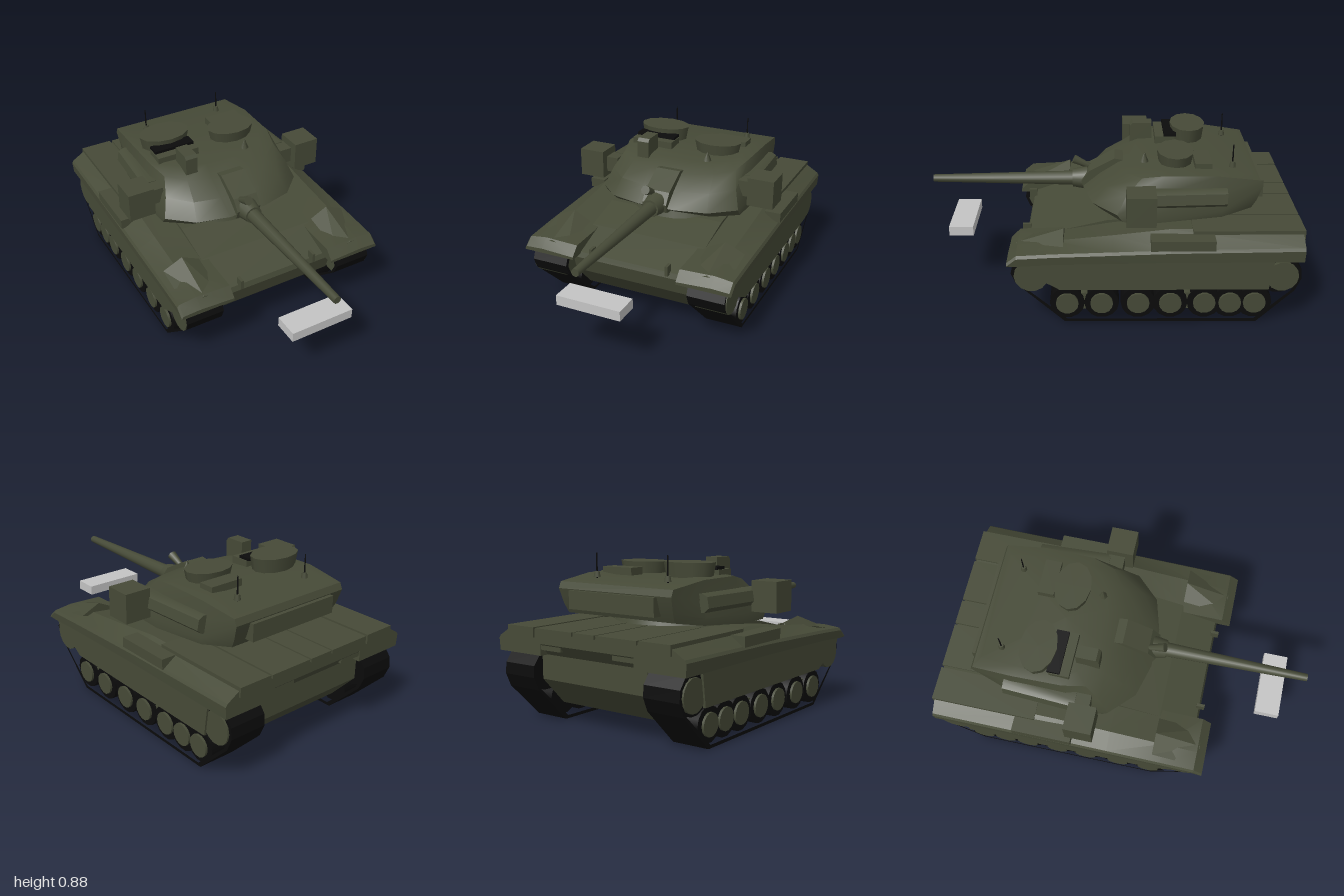
import * as THREE from 'three';
import { toCreasedNormals } from 'three/addons/utils/BufferGeometryUtils.js';

const mat = (name, color) => Object.assign(new THREE.MeshStandardMaterial({ color }), { name });

// Skin a list of equal-length rings of [x, y, z], close both ends, and face outward
function loft(rings, crease = 0.6) {
  const n = rings[0].length, tris = [];
  for (let r = 0; r < rings.length - 1; r++) {
    for (let i = 0; i < n; i++) {
      const j = (i + 1) % n, a = rings[r], b = rings[r + 1];
      tris.push([a[i], a[j], b[j]], [a[i], b[j], b[i]]);
    }
  }
  const cap = (ring, flip) => {
    const c = [0, 1, 2].map(k => ring.reduce((s, p) => s + p[k], 0) / n);
    ring.forEach((p, i) => {
      const q = ring[(i + 1) % n];
      tris.push(flip ? [c, q, p] : [c, p, q]);
    });
  };
  cap(rings[0], true);
  cap(rings[rings.length - 1], false);
  const v = p => new THREE.Vector3(...p);
  const volume = tris.reduce((s, t) => s + v(t[0]).dot(v(t[1]).cross(v(t[2]))), 0);
  if (volume < 0) tris.forEach(t => t.reverse());
  const g = new THREE.BufferGeometry();
  g.setAttribute('position', new THREE.Float32BufferAttribute(tris.flat(2), 3));
  return toCreasedNormals(g, crease);
}

// Extrude a [z, y] side profile between x0 and x1
function prism(profile, x0, x1, hole) {
  const pts = list => list.map(p => new THREE.Vector2(...p));
  const shape = new THREE.Shape(pts(profile));
  if (hole) shape.holes.push(new THREE.Path(pts(hole)));
  const g = new THREE.ExtrudeGeometry(shape, { depth: x1 - x0, bevelEnabled: false });
  return g.rotateY(-Math.PI / 2).translate(x1, 0, 0);
}

// Box from its limits
const box = (x0, x1, y0, y1, z0, z1) => new THREE.BoxGeometry(x1 - x0, y1 - y0, z1 - z0)
  .translate((x0 + x1) / 2, (y0 + y1) / 2, (z0 + z1) / 2);

// Wheel-like cylinder lying along x
const disc = (r, x0, x1, y, z, sides = 14) => new THREE.CylinderGeometry(r, r, x1 - x0, sides)
  .rotateZ(Math.PI / 2).translate((x0 + x1) / 2, y, z);

export function createModel() {
  const green = mat('olive green', 0x464a37);
  const black = mat('track black', 0x0b0b0b);
  const grey = mat('light grey', 0xc4c4c4);
  const model = new THREE.Group();
  const add = (name, geometry, material = green, parent = model) => {
    const m = new THREE.Mesh(geometry, material);
    m.name = name;
    parent.add(m);
    return m;
  };

  // Hull: lower tub and sloping glacis
  add('hull', prism([[0.3, 0.1], [0.44, 0.25], [0.465, 0.34], [0.455, 0.37], [0.25, 0.44], [0.02, 0.495],
    [-0.15, 0.505], [-0.99, 0.505], [-0.99, 0.44], [-0.94, 0.38], [-0.94, 0.25], [-0.8, 0.1]], -0.345, 0.345));

  // Engine deck panels and rear fittings
  for (const [x0, x1] of [[-0.33, -0.08], [-0.07, 0.07], [0.08, 0.33]]) {
    add('engineDeckPanel', box(x0, x1, 0.5, 0.52, -1, -0.5));
  }
  for (const x of [-0.24, 0.24]) {
    add('rearBox', box(x - 0.07, x + 0.07, 0.41, 0.48, -0.985, -0.93));
    add('headlamp', box(x * 0.94 - 0.008, x * 0.94 + 0.008, 0.36, 0.415, 0.44, 0.485));
  }

  // Running gear, once per side
  const loop = [[0.525, 0.3], [0.5, 0.24], [0.25, 0.005], [-0.77, 0.0], [-0.96, 0.19], [-0.99, 0.26],
    [-0.985, 0.32], [-0.94, 0.38], [0.44, 0.38], [0.5, 0.36]];
  const inner = loop.map(([z, y]) => [(z + 0.23) * 0.972 - 0.23, (y - 0.19) * 0.91 + 0.19]);
  for (const s of [1, -1]) {
    const side = new THREE.Group();
    side.name = s > 0 ? 'leftSide' : 'rightSide';
    model.add(side);
    const span = (a, b) => s > 0 ? [a, b] : [-b, -a];
    add('track', prism(loop, ...span(0.36, 0.57), inner), black, side);
    for (const z of [0.235, 0.053, -0.14, -0.31, -0.49, -0.625, -0.755]) {
      add('roadWheelTyre', disc(0.092, ...span(0.39, 0.562), 0.115, z), black, side);
      add('roadWheelHub', disc(0.06, ...span(0.5, 0.575), 0.115, z), green, side);
    }
    for (const z of [0.146, -0.4]) add('shockAbsorber', disc(0.05, ...span(0.5, 0.55), 0.12, z), green, side);
    add('idlerWheel', disc(0.09, ...span(0.39, 0.575), 0.285, 0.42), green, side);
    add('driveSprocketRim', disc(0.105, ...span(0.39, 0.56), 0.28, -0.87), black, side);
    add('driveSprocket', disc(0.085, ...span(0.45, 0.58), 0.28, -0.89), green, side);

    // Side skirt
    add('sideSkirt', prism([[0.5, 0.38], [0.48, 0.33], [0.3, 0.23], [0.27, 0.21], [-0.82, 0.21],
      [-0.84, 0.37], [-0.84, 0.4], [0.5, 0.4]], ...span(0.575, 0.59)), green, side);

    // Fender: [z, inner top, ridge, outer top, bottom]
    const sections = [[0.54, 0.375, 0.385, 0.38, 0.36], [0.49, 0.425, 0.432, 0.42, 0.36],
      [0.3, 0.43, 0.455, 0.43, 0.37], [0, 0.48, 0.485, 0.44, 0.375],
      [-0.3, 0.51, 0.52, 0.45, 0.38], [-0.99, 0.51, 0.52, 0.46, 0.38]];
    add('fender', loft(sections.map(([z, a, b, c, d]) => [[0.305, a, z], [0.5, b, z], [0.6, c, z],
      [0.61, c - 0.015, z], [0.605, d, z], [0.305, d, z]].map(([x, y, w]) => [s * x, y, w])), 0.3), green, side);
    add('fenderLocker', box(...span(0.345, 0.53), 0.47, 0.522, -1, -0.42), green, side);
    add('fenderRail', box(...span(0.52, 0.612), 0.45, 0.505, -0.53, -0.2), green, side);
    add('frontFenderPlate', loft([[0.5, 0.425], [0.25, 0.475]].map(([z, y]) =>
      [[0.36, y - 0.02, z], [0.46, y + 0.03 * (z < 0.4), z], [0.57, y - 0.02, z], [0.46, y - 0.05, z]]
        .map(([x, yy, w]) => [s * x, yy, w])), 0.2), green, side);

    // Turret side bin and searchlight box
    add('turretBin', loft([[-0.2, 0], [-0.6, 0.02]].map(([z, d]) =>
      [[0.36, 0.61, z], [0.44 - d, 0.61, z], [0.47 - d, 0.635, z], [0.46 - d, 0.69, z], [0.43 - d, 0.705, z],
        [0.36, 0.7, z]].map(([x, y, w]) => [s * x, y, w]))), green, side);
    add('turretSideBox', box(...span(0.452, 0.602), 0.58, 0.742, -0.225, -0.075), green, side);
    add('sideBoxArm', box(...span(0.38, 0.46), 0.61, 0.7, -0.21, -0.12), green, side);

    // Roof antenna
    const tall = s > 0 ? 0.88 : 0.885;
    add('antenna', new THREE.CylinderGeometry(0.003, 0.005, tall - 0.74, 6)
      .translate(s * 0.235, (tall + 0.74) / 2, -0.645), black, side);
    add('antennaBase', new THREE.CylinderGeometry(0.013, 0.018, 0.03, 8)
      .translate(s * 0.235, 0.77, -0.645), green, side);
  }

  // Turret: half rings of [x, y, z] from front to rear, mirrored to closed rings
  const halves = [
    [[0.1, 0.54, 0.09], [0.29, 0.53, 0.05], [0.42, 0.52, -0.06], [0.43, 0.52, -0.25], [0.41, 0.545, -0.58], [0.35, 0.57, -0.74]],
    [[0.11, 0.575, 0.15], [0.29, 0.57, 0.1], [0.42, 0.56, -0.03], [0.43, 0.565, -0.23], [0.415, 0.58, -0.58], [0.36, 0.62, -0.765]],
    [[0.12, 0.65, 0.06], [0.27, 0.655, 0.03], [0.385, 0.66, -0.08], [0.405, 0.67, -0.25], [0.4, 0.67, -0.57], [0.37, 0.7, -0.79]],
    [[0.12, 0.715, -0.04], [0.25, 0.725, -0.08], [0.35, 0.74, -0.16], [0.38, 0.765, -0.28], [0.385, 0.765, -0.55], [0.37, 0.735, -0.775]],
    [[0.1, 0.755, -0.14], [0.2, 0.758, -0.16], [0.29, 0.765, -0.22], [0.33, 0.775, -0.3], [0.33, 0.772, -0.54], [0.31, 0.745, -0.74]],
  ];
  add('turret', loft(halves.map(h => [...h, ...h.map(([x, y, z]) => [-x, y, z]).reverse()]), 0.55));
  add('turretRing', new THREE.CylinderGeometry(0.33, 0.35, 0.06, 32).translate(0, 0.515, -0.27));
  add('turretRearBin', box(-0.28, 0.28, 0.6, 0.695, -0.81, -0.74));

  // Mantlet and gun
  add('mantlet', prism([[0.05, 0.54], [0.15, 0.55], [0.165, 0.6], [0.12, 0.66], [-0.02, 0.735], [-0.1, 0.72]], -0.072, 0.072));
  add('gunCollar', new THREE.CylinderGeometry(0.05, 0.065, 0.08, 14).rotateX(Math.PI / 2).translate(0, 0.59, 0.175));
  add('gunBarrel', new THREE.CylinderGeometry(0.021, 0.042, 0.87, 12).rotateX(Math.PI / 2).translate(0, 0.589, 0.565));
  const lamp = add('mantletLamp', new THREE.CylinderGeometry(0.026, 0.014, 0.12, 8));
  lamp.position.set(-0.03, 0.665, 0.155);
  lamp.rotation.x = 1.1;

  // Cupolas: flared, wider across than long
  const cupola = (name, x, z, y0, y1, rx, rz) => {
    add(name, new THREE.CylinderGeometry(1, 0.9, y1 - y0, 12).scale(rx, 1, rz).translate(x, (y0 + y1) / 2, z));
  };
  cupola('commanderCupola', -0.215, -0.44, 0.765, 0.842, 0.15, 0.1);
  cupola('loaderCupola', 0.165, -0.345, 0.765, 0.827, 0.142, 0.1);
  add('periscopeRow', box(-0.34, -0.09, 0.76, 0.8, -0.36, -0.25));
  add('visionSlit', box(-0.335, -0.095, 0.8, 0.815, -0.37, -0.3), black);
  add('roofHatch', box(0.1, 0.3, 0.76, 0.8, -0.53, -0.44));

  // Gun sights
  add('mainSight', prism([[-0.11, 0.74], [-0.11, 0.835], [-0.125, 0.853], [-0.235, 0.853], [-0.235, 0.74]], -0.24, -0.17));
  add('smallSight', new THREE.ConeGeometry(0.032, 0.08, 6).translate(0.17, 0.775, -0.18));

  // Separate block ahead of the hull
  add('frontBlock', box(-0.18, 0.18, 0.315, 0.37, 0.77, 0.905), grey);

  return model;
}
